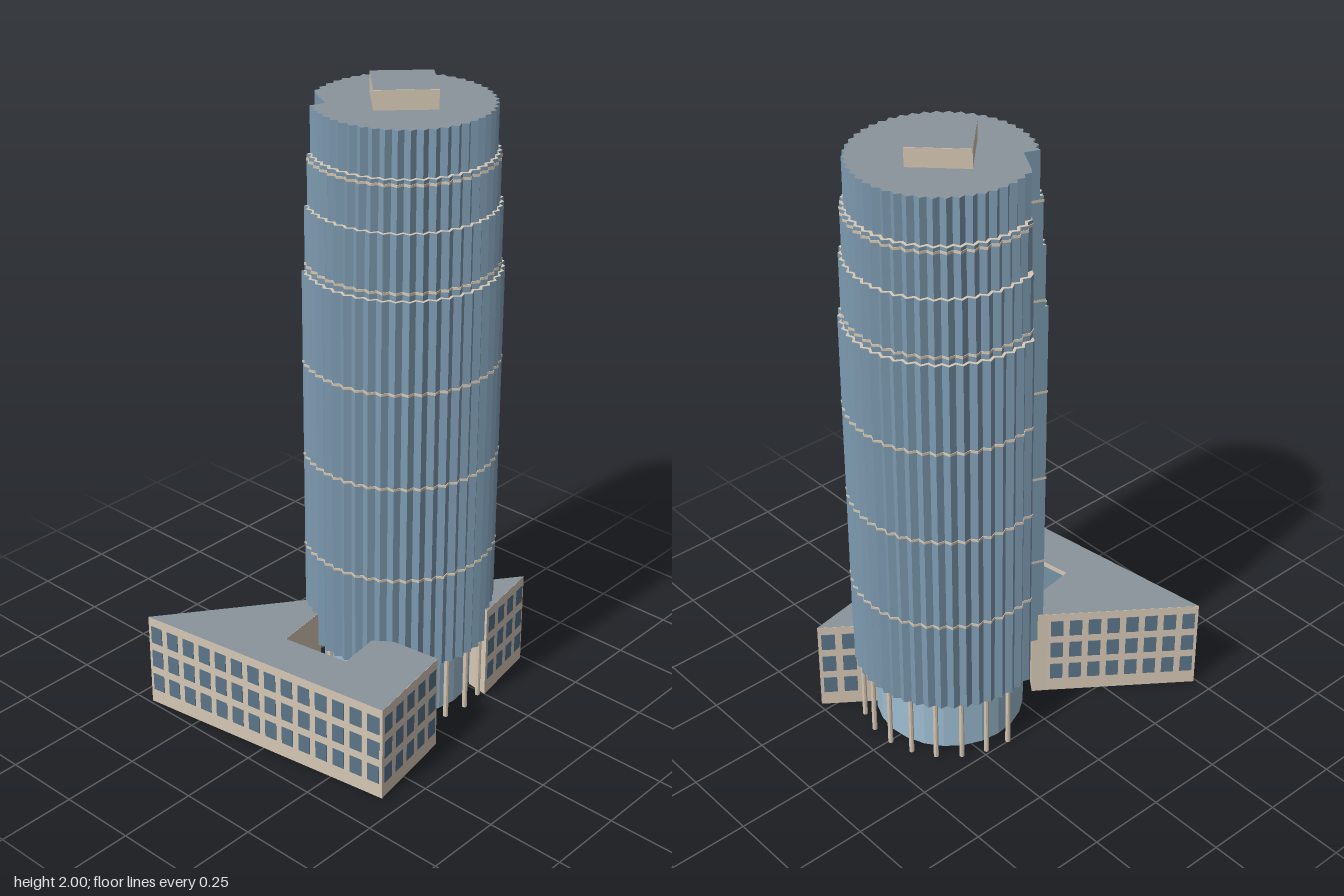
import * as THREE from 'three';

const mat = (color, side = THREE.FrontSide) =>
  new THREE.MeshStandardMaterial({ color, side, flatShading: true });
const glass = mat(0x7d9ab0), cream = mat(0xd6c8b4), roofGrey = mat(0x8b949b);
const pane = mat(0x5b7589), lobbyGlass = mat(0x9dbdd2, THREE.DoubleSide);
const atriumGlass = mat(0x668192, THREE.DoubleSide);

const CX = 0.155, CZ = 0.035;          // tower axis
const TEETH = 48, TOOTH = 0.013;       // pleated facade
const TOWER_BASE = 0.215, WING_TOP = 0.315;

function add(parent, name, geometry, material) {
  const mesh = new THREE.Mesh(geometry, material);
  mesh.name = name;
  parent.add(mesh);
  return mesh;
}

// Plan outline given as [x, z] pairs
const planShape = (pts) => new THREE.Shape(pts.map(([x, z]) => new THREE.Vector2(x, -z)));

// Upright prism with a separately coloured lid
function prism(parent, name, pts, y0, y1, wall, lid) {
  const shape = planShape(pts);
  const body = new THREE.ExtrudeGeometry(shape, { depth: y1 - y0, bevelEnabled: false });
  body.rotateX(-Math.PI / 2).translate(0, y0, 0);
  add(parent, name, body, wall);
  if (lid) {
    const top = new THREE.ShapeGeometry(shape);
    top.rotateX(-Math.PI / 2).translate(0, y1 + 0.0008, 0);
    add(parent, name + 'Top', top, lid);
  }
}

// Pleated circle with a corner notch cut from its back; s scales it about the axis
const CORNER = [-0.17, -0.145], NOTCH_A = [-0.085, -0.29], NOTCH_B = [-0.245, -0.175];
function towerOutline(r, s = 1) {
  const t = (r - 0.223) / (0.302 - 0.223);
  const toward = (p) => CORNER.map((c, i) => c + (p[i] - c) * t);
  const a = toward(NOTCH_A), b = toward(NOTCH_B);
  const from = Math.atan2(a[1], a[0]) + Math.PI * 2;
  const to = Math.atan2(b[1], b[0]) + Math.PI * 4;
  const pts = [CORNER, a];
  const step = Math.PI / TEETH;
  for (let k = Math.ceil(from / step + 0.3); k * step < to - 0.3 * step; k++) {
    const rr = k % 2 ? r - TOOTH : r;
    pts.push([rr * Math.cos(k * step), rr * Math.sin(k * step)]);
  }
  pts.push(b);
  return pts.map(([x, z]) => [CX + x * s, CZ + z * s]);
}

// Three rows of windows along a wall; the outside lies to the left of p -> q seen from above
function windows(parent, p, q, y0 = 0.08) {
  const dx = q[0] - p[0], dz = q[1] - p[1], len = Math.hypot(dx, dz);
  const n = Math.max(1, Math.round(len / 0.061));
  const geo = new THREE.BoxGeometry((len / n) * 0.66, 0.06, 0.004);
  for (let i = 0; i < n; i++) {
    const t = (i + 0.5) / n;
    for (let row = 0; row < 3; row++) {
      const w = add(parent, 'window', geo, pane);
      w.position.set(p[0] + dx * t, y0 + row * 0.088, p[1] + dz * t);
      w.rotation.y = Math.atan2(-dz, dx);
    }
  }
}

function buildTower() {
  const tower = new THREE.Group();
  tower.name = 'tower';

  // Stepped shaft
  const tiers = [[0.302, 1.445], [0.292, 1.645], [0.282, 1.8], [0.271, 1.94]];
  let y = TOWER_BASE;
  tiers.forEach(([r, top], i) => {
    prism(tower, 'tier', towerOutline(r), y, top, glass, i < 3 ? cream : roofGrey);
    y = top;
  });
  const soffit = new THREE.ShapeGeometry(planShape(towerOutline(0.302)));
  soffit.rotateX(-Math.PI / 2).translate(0, TOWER_BASE - 0.001, 0);
  add(tower, 'soffit', soffit, mat(0x70797f, THREE.DoubleSide));

  // Pale belts
  for (const [r, h] of [[0.302, 0.53], [0.302, 0.845], [0.302, 1.155], [0.292, 1.467], [0.282, 1.785]])
    prism(tower, 'belt', towerOutline(r, 1.007), h - 0.004, h + 0.004, cream);

  // Rooftop plant room
  const d = 0.131;
  prism(tower, 'plantRoom', [[CX + d, CZ], [CX, CZ + d], [CX - d, CZ], [CX, CZ - d]],
    1.94, 1.999, cream, roofGrey);

  // Recessed lobby drum, open underneath
  const lobby = add(tower, 'lobby',
    new THREE.CylinderGeometry(0.237, 0.237, TOWER_BASE, 24, 1, true), lobbyGlass);
  lobby.position.set(CX, TOWER_BASE / 2, CZ);

  // Ring of columns, skipping the notch
  const columnGeo = new THREE.CylinderGeometry(0.008, 0.008, TOWER_BASE, 8);
  for (let i = 0; i < 22; i++) {
    const deg = (i + 0.5) * 360 / 22;
    if (deg > 212 && deg < 254) continue;
    const a = THREE.MathUtils.degToRad(deg);
    add(tower, 'column', columnGeo, cream)
      .position.set(CX + 0.282 * Math.cos(a), TOWER_BASE / 2, CZ + 0.282 * Math.sin(a));
  }
  return tower;
}

function buildWings() {
  const wings = new THREE.Group();
  wings.name = 'lowWings';

  // Large wing wrapped round the courtyard, and the small wing at the opposite tip
  const large = [[-0.49, -0.44], [-0.1, -0.152], [-0.06, -0.124], [-0.105, -0.062],
    [-0.29, -0.035], [-0.258, 0.185], [-0.12, 0.166], [-0.08, 0.22], [-0.06, 0.38], [-0.373, 0.435]];
  const small = [[0.49, 0.28], [0.25, 0.322], [0.26, 0.25], [0.345, 0.173]];
  prism(wings, 'largeWing', large, 0, WING_TOP, cream, roofGrey);
  prism(wings, 'smallWing', small, 0, WING_TOP, cream, roofGrey);

  // Windows on the outer walls
  windows(wings, large[0], large[1]);
  windows(wings, large[9], large[0]);
  windows(wings, large[8], large[9]);
  windows(wings, large[7], large[8]);
  windows(wings, small[0], small[1]);
  windows(wings, [0.385, 0.203], small[0]);

  // Sloping courtyard glazing, high at the outer wall
  const a = [-0.288, 0.3, -0.034], b = [-0.257, 0.3, 0.183];
  const e = [-0.24, 0.01, -0.042], d = [-0.15, 0.01, 0.005];
  const m = [-0.143, 0.01, 0.09], c = [-0.122, 0.01, 0.165];
  const geo = new THREE.BufferGeometry();
  const tris = [a, d, e, a, m, d, a, b, m, b, c, m];
  geo.setAttribute('position', new THREE.Float32BufferAttribute(tris.flat(), 3));
  geo.computeVertexNormals();
  add(wings, 'courtyardGlazing', geo, atriumGlass);
  return wings;
}

export function createModel() {
  const model = new THREE.Group();
  model.name = 'towerWithWings';
  model.add(buildTower(), buildWings());
  return model;
}
